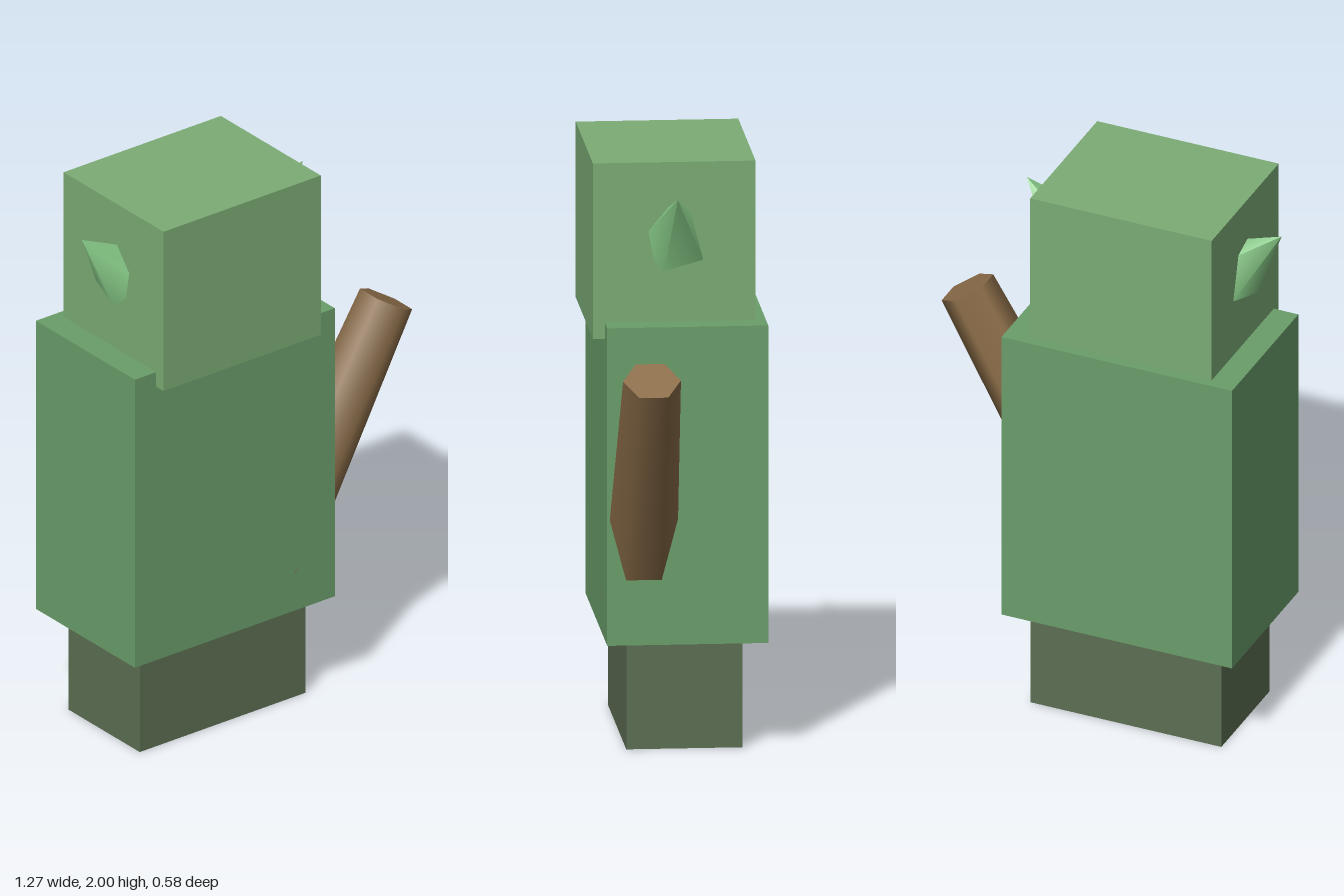
import * as THREE from 'three';

const mat = (color) => new THREE.MeshStandardMaterial({ color });

export function createModel() {
  const model = new THREE.Group();
  const add = (name, geometry, material, x, y, z, tilt = 0) => {
    const mesh = new THREE.Mesh(geometry, material);
    mesh.name = name;
    mesh.position.set(x, y, z);
    mesh.rotation.z = tilt;
    model.add(mesh);
  };
  // box given by its lower and upper corner
  const block = (name, color, a, b) => add(
    name,
    new THREE.BoxGeometry(b[0] - a[0], b[1] - a[1], b[2] - a[2]),
    mat(color),
    (a[0] + b[0]) / 2, (a[1] + b[1]) / 2, (a[2] + b[2]) / 2
  );

  // stacked blocks
  block('legs', 0x5c6e52, [-0.52, 0, -0.21], [0.18, 0.37, 0.18]);
  block('body', 0x6a9e6a, [-0.595, 0.37, -0.29], [0.25, 1.455, 0.25]);
  block('head', 0x7bac75, [-0.505, 1.4, -0.255], [0.16, 2, 0.29]);

  // five-sided pointed ears, mirrored about the middle of the head
  const earMat = mat(0x85c785);
  for (const side of [1, -1]) {
    add(side > 0 ? 'leftEar' : 'rightEar', new THREE.ConeGeometry(0.12, 0.262, 5), earMat,
      -0.172 + side * 0.374, 1.807, 0.017, -side * Math.PI / 4);
  }

  // six-sided wooden club, its thick end set into the body
  const tilt = Math.PI / 6, length = 0.96;
  add('club', new THREE.CylinderGeometry(0.097, 0.124, length, 6), mat(0x8a6c48),
    0.562 - Math.sin(tilt) * length / 2, 1.34 - Math.cos(tilt) * length / 2, 0.127, -tilt);

  return model;
}
